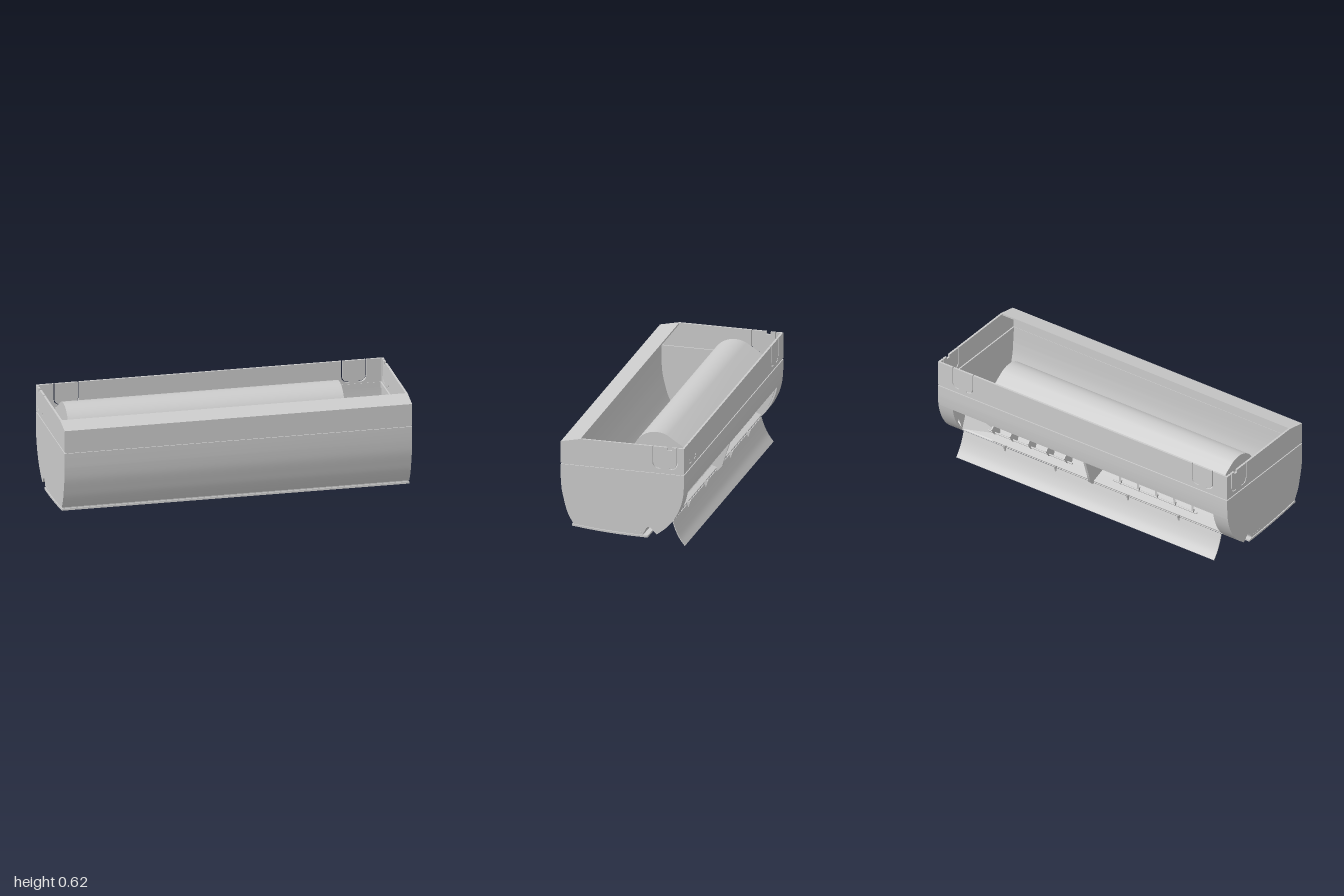
import * as THREE from 'three';
import { toCreasedNormals } from 'three/addons/utils/BufferGeometryUtils.js';

const material = new THREE.MeshStandardMaterial({ color: 0xcccccc, side: THREE.DoubleSide });
const T = 0.012; // wall thickness

export function createModel() {
  const root = new THREE.Group();

  const add = (name, geometry, parent = root) => {
    const mesh = new THREE.Mesh(geometry, material);
    mesh.name = name;
    parent.add(mesh);
    return mesh;
  };
  const shapeOf = (pts) => new THREE.Shape(pts.map(([a, b]) => new THREE.Vector2(a, b)));

  // Extrude a side outline of [z, y] points from x0 to x1
  const slab = (name, pts, x0, x1, parent) => {
    const g = new THREE.ExtrudeGeometry(shapeOf(pts), { depth: x1 - x0, bevelEnabled: false });
    g.rotateY(-Math.PI / 2).translate(x1, 0, 0);
    return add(name, toCreasedNormals(g, 0.6), parent);
  };

  // Bent sheet: thicken a [z, y] path to the left of its direction
  const sheet = (name, path, x0, x1, t = T, parent = root) => {
    const inner = path.map((p, i) => {
      const a = path[Math.max(i - 1, 0)], b = path[Math.min(i + 1, path.length - 1)];
      const dz = b[0] - a[0], dy = b[1] - a[1], l = Math.hypot(dz, dy);
      return [p[0] - (dy / l) * t, p[1] + (dz / l) * t];
    });
    return slab(name, [...path, ...inner.reverse()], x0, x1, parent);
  };

  const smooth = (pts, n) => new THREE.SplineCurve(pts.map(([a, b]) => new THREE.Vector2(a, b)))
    .getPoints(n).map((p) => [p.x, p.y]);

  // Pair of hooked slots around a snap tab, cut down from the top edge (a increases)
  const tabSlots = (a0, a1, top, bottom) => {
    const r = 0.035, w = 0.006, mid = (a0 + a1) / 2, gap = 0.026;
    const hook = (edge, s) => {
      const arc = (rad) => Array.from({ length: 6 }, (_, i) => {
        const t = (i / 5) * Math.PI / 2;
        return [edge + s * (r - rad * Math.cos(t)), bottom + r - rad * Math.sin(t)];
      });
      const outer = [[edge, top], ...arc(r), [mid - s * gap, bottom]];
      const inner = [[mid - s * gap, bottom + w], ...arc(r - w).reverse(), [edge + s * w, top]];
      return [...outer, ...inner];
    };
    return [...hook(a0, 1), ...hook(a1, -1).reverse()];
  };

  // Profiles
  const rearCurve = smooth([[-0.36, 0.4], [-0.354, 0.33], [-0.337, 0.265], [-0.31, 0.208],
    [-0.28, 0.165], [-0.245, 0.13], [-0.2, 0.095]], 24);
  const frontCurve = smooth([[0.288, 0.115], [0.32, 0.175], [0.34, 0.245], [0.354, 0.31], [0.36, 0.38]], 16);
  const hump = [[-0.2, 0.095], [-0.182, 0.112], [-0.17, 0.128], [-0.16, 0.134], [-0.148, 0.134],
    [-0.139, 0.126], [-0.122, 0.092]];
  const floorLine = smooth([[-0.122, 0.092], [0, 0.094], [0.15, 0.102], [0.288, 0.115]], 12);
  const S0 = 0.46, S1 = 0.467; // seam

  // End walls, with the snap tab and cable notch
  for (const s of [-1, 1]) {
    const [x0, x1] = s > 0 ? [1 - T, 1] : [-1, -1 + T];
    slab('lowerEndWall', [[-0.36, S0], ...rearCurve, ...hump.slice(1), ...floorLine.slice(1),
      ...frontCurve.slice(1), [0.36, S0]], x0, x1);
    const slots = tabSlots(-0.322, -0.176, 0.62, 0.49);
    const n = slots.length / 2;
    slab('upperEndWall', [[-0.36, S1], [-0.36, 0.62], ...slots.slice(0, n),
      [-0.29, 0.62], [-0.29, 0.603], [-0.264, 0.603], [-0.264, 0.62],
      ...slots.slice(n), [0.245, 0.62], [0.36, 0.595], [0.36, S1]], x0, x1);
    slab('endSeam', [[-0.352, 0.45], [0.352, 0.45], [0.352, 0.48], [-0.352, 0.48]],
      s > 0 ? 0.98 : -0.994, s > 0 ? 0.994 : -0.98);
    // Ledge beside the floor and the foot clip
    slab('floorLedge', [...floorLine, [0.27, 0.127], [-0.122, 0.104]], s > 0 ? 0.935 : -0.99, s > 0 ? 0.99 : -0.935);
    slab('footClip', [[-0.115, 0.092], [-0.043, 0.092], [-0.047, 0.105], [-0.111, 0.105]],
      s > 0 ? 0.96 : -1.001, s > 0 ? 1.001 : -0.96);
  }

  // Front wall and sloped lip
  sheet('frontLower', [...frontCurve, [0.36, S0]], -1, 1);
  slab('frontUpper', [[0.36, S1], [0.36, 0.595], [0.245, 0.62], [0.245, 0.61], [0.348, 0.586], [0.348, S1]], -1, 1);
  for (const z of [-0.35, 0.35]) {
    add('wallSeam', new THREE.BoxGeometry(1.98, 0.03, 0.008)).position.set(0, 0.465, z);
  }

  // Back wall with two snap tabs
  const back = new THREE.ExtrudeGeometry(shapeOf([[-1, S1], [-1, 0.62], ...tabSlots(-0.9, -0.755, 0.62, 0.49),
    ...tabSlots(0.755, 0.9, 0.62, 0.49), [1, 0.62], [1, S1]]), { depth: T, bevelEnabled: false });
  add('backUpper', back.translate(0, 0, -0.36));

  // Curved back around the air outlet
  const above = rearCurve.filter((p) => p[1] >= 0.32);
  const beside = rearCurve.filter((p) => p[1] < 0.335 && p[1] > 0.14);
  const below = rearCurve.filter((p) => p[1] <= 0.155);
  sheet('backLower', [[-0.36, S0], ...above], -1, 1);
  sheet('outletSideLeft', beside, 0.9, 1);
  sheet('outletSideRight', beside, -1, -0.9);
  sheet('outletSill', below, -1, 1);
  sheet('rearHump', hump, -1, 1, 0.008);

  // Bottom panel in two layers
  sheet('floor', floorLine, -0.99, 0.99, 0.006);
  sheet('bottomPanel', smooth([[-0.148, 0.071], [0, 0.074], [0.15, 0.083], [0.295, 0.098]], 12), -1, 1, 0.011);
  sheet('panelLayer', smooth([[-0.12, 0.083], [0, 0.086], [0.15, 0.095], [0.288, 0.109]], 12), -0.995, 0.995, 0.009);

  // Fan housing: sloping roof, rounded front, lower duct wall
  const dome = Array.from({ length: 15 }, (_, i) => {
    const t = 2.05 - (i / 14) * 2.2;
    return [-0.11 + 0.14 * Math.cos(t), 0.45 + 0.14 * Math.sin(t)];
  });
  const duct = smooth([dome[14], [0.005, 0.34], [-0.06, 0.25], [-0.15, 0.19], [-0.262, 0.15]], 16);
  const housing = [[-0.35, 0.46], ...dome, ...duct.slice(1)];
  sheet('fanHousing', [...housing].reverse(), -0.9, 0.69, 0.008);
  const outer = [...housing, ...rearCurve.filter((p) => p[1] > 0.16).reverse().map(([z, y]) => [z + 0.01, y])];
  slab('housingEndRight', outer, -0.9, -0.89);
  slab('housingEndLeft', [...housing.slice(0, -4), [-0.23, 0.3], [-0.34, 0.4]], 0.68, 0.69);
  sheet('ductFloorExtension', duct.slice(-6), 0.69, 0.9, 0.008);
  // Inner duct ceiling above the vanes
  sheet('ductCeiling', smooth([[-0.35, 0.335], [-0.29, 0.335], [-0.23, 0.35], [-0.18, 0.4]], 8), -0.89, 0.69, 0.006);

  // Flared duct side
  const flare = new THREE.BufferGeometry();
  flare.setAttribute('position', new THREE.Float32BufferAttribute([
    0.68, 0.42, -0.23, 0.71, 0.36, -0.345, 0.895, 0.34, -0.345, 0.895, 0.27, -0.23,
    0.68, 0.17, -0.2, 0.895, 0.16, -0.27], 3));
  flare.setIndex([0, 2, 1, 0, 3, 2, 0, 4, 3, 3, 4, 5, 2, 3, 5]);
  add('flaredDuctSide', toCreasedNormals(flare, 0.2));

  // Air vanes on a linking rod, either side of a centre divider
  for (const s of [-1, 1]) {
    const vanes = new THREE.Group();
    vanes.name = s > 0 ? 'leftVanes' : 'rightVanes';
    root.add(vanes);
    for (let i = 0; i < 5; i++) {
      const vane = slab('vane', [[-0.055, 0.03], [0.03, 0.09], [0.06, 0.03], [0.04, -0.045], [-0.02, -0.02]],
        -0.003, 0.003, vanes);
      vane.position.set(s * (0.18 + i * 0.125), 0.225, -0.245);
      vane.rotation.y = s > 0 ? 0.15 : 0.75;
    }
    const rod = new THREE.CylinderGeometry(0.005, 0.005, 0.58, 8).rotateZ(Math.PI / 2);
    add('vaneRod', rod, vanes).position.set(s * 0.43, 0.215, -0.262);
    for (const x of [0.25, 0.6]) {
      slab('hingeTab', [[-0.25, 0.155], [-0.285, 0.165], [-0.272, 0.125]], s * x - 0.004, s * x + 0.004);
    }
  }
  slab('centreDivider', [[-0.345, 0.33], [-0.2, 0.37], [-0.17, 0.19], [-0.26, 0.13], [-0.295, 0.165], [-0.31, 0.22]],
    -0.008, 0.008);

  // Hanging outlet flap
  sheet('outletFlap', smooth([[-0.332, 0.002], [-0.302, 0.042], [-0.278, 0.09], [-0.26, 0.142]], 12), -0.89, 0.89, 0.005);
  return root;
}
